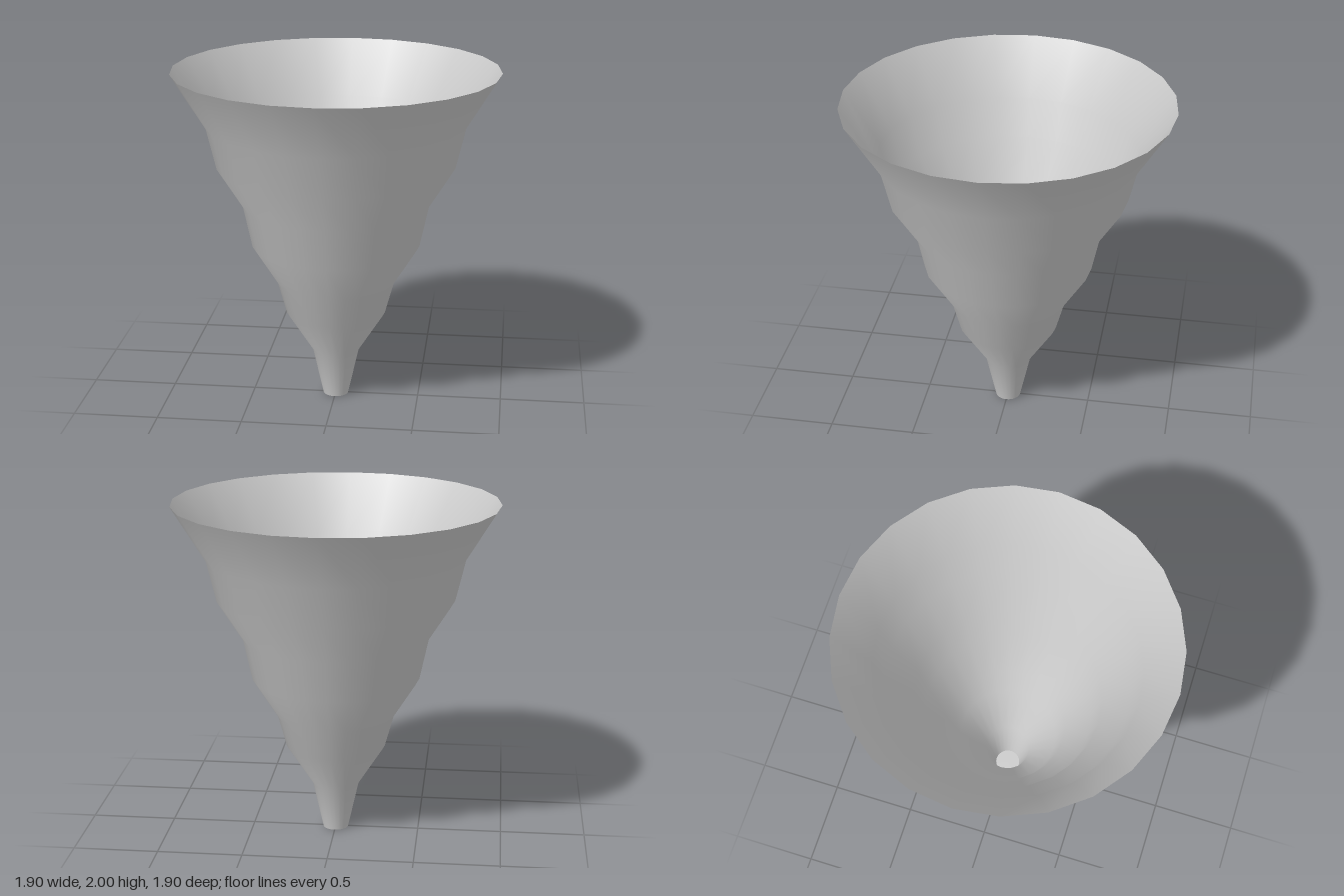
import * as THREE from 'three';

export function createModel() {
  const group = new THREE.Group();
  const material = new THREE.MeshStandardMaterial({ color: 0xcccccc, side: THREE.DoubleSide });
  const sides = 24;

  // Thin stepped funnel wall, open at the top: [radius, height]
  const profile = [
    [0.075, 0], [0.138, 0.285], [0.295, 0.53], [0.347, 0.72], [0.495, 0.955],
    [0.547, 1.2], [0.695, 1.435], [0.752, 1.675], [0.95, 2],
  ].map(([r, y]) => new THREE.Vector2(r, y));
  const wall = new THREE.Mesh(new THREE.LatheGeometry(profile, sides), material);
  wall.name = 'funnelWall';
  group.add(wall);

  // Flat disc closing the narrow end, facing down
  const base = new THREE.Mesh(new THREE.CircleGeometry(profile[0].x, sides).rotateX(Math.PI / 2), material);
  base.name = 'baseDisc';
  group.add(base);

  return group;
}
